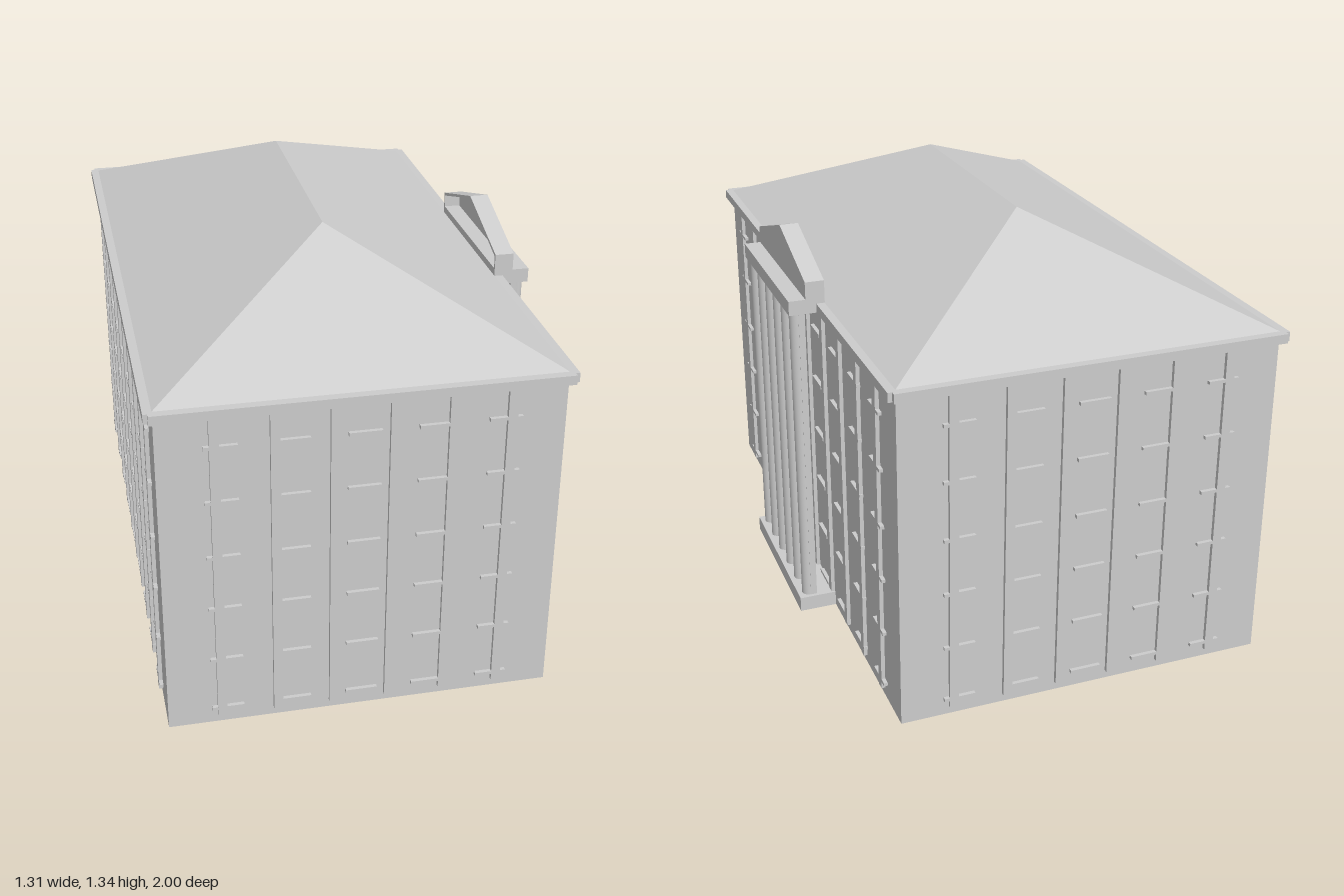
import * as THREE from 'three';

const stone = new THREE.MeshStandardMaterial({ color: 0xcccccc, side: THREE.DoubleSide });
stone.name = 'stone grey';

// Main block: centre and half sizes
const CX = -0.048, HX = 0.584, HZ = 0.973, WALL_TOP = 1.041;
const RELIEF = 0.012;

// Box faces in the order of their geometry groups
const BACK_X = 1, BOTTOM = 3;

function add(parent, name, geometry, x = 0, y = 0, z = 0) {
  const mesh = new THREE.Mesh(geometry, stone);
  mesh.name = name;
  mesh.position.set(x, y, z);
  parent.add(mesh);
  return mesh;
}

// Box given by its lower and upper corners, with some faces left open
function block(parent, name, [x0, y0, z0], [x1, y1, z1], open = []) {
  const g = new THREE.BoxGeometry(x1 - x0, y1 - y0, z1 - z0);
  if (open.length) {
    g.setIndex(Array.from(g.index.array).filter((_, i) => !open.includes(Math.floor(i / 6))));
    g.clearGroups();
  }
  return add(parent, name, g, (x0 + x1) / 2, (y0 + y1) / 2, (z0 + z1) / 2);
}

// Hipped roof with a ridge along z, open underneath
function hipRoof(a, b, ridge, h) {
  const g = new THREE.BufferGeometry();
  g.setAttribute('position', new THREE.Float32BufferAttribute([
    -a, 0, b, a, 0, b, a, 0, -b, -a, 0, -b, 0, h, ridge, 0, h, -ridge], 3));
  g.setIndex([0, 1, 4, 1, 2, 5, 1, 5, 4, 2, 3, 5, 3, 0, 4, 3, 4, 5]);
  const flat = g.toNonIndexed();
  flat.computeVertexNormals();
  return flat;
}

// Relief of one wall, built on its own plane (local +z points outwards)
function wallRelief(name, pilasters, pilasterStep, ledges, ledgeStep) {
  const wall = new THREE.Group();
  wall.name = name;
  for (let i = 0; i < pilasters; i++) {
    const x = (i - (pilasters - 1) / 2) * pilasterStep;
    block(wall, 'pilaster', [x - 0.014, 0.027, 0], [x + 0.014, WALL_TOP, RELIEF]);
  }
  for (const y of [0.055, 0.232, 0.412, 0.588, 0.77, 0.945]) {
    for (let i = 0; i < ledges; i++) {
      const x = (i - (ledges - 1) / 2) * ledgeStep;
      block(wall, 'windowLedge', [x - 0.048, y - 0.005, 0], [x + 0.048, y + 0.005, RELIEF]);
    }
  }
  return wall;
}

// Gable outline in z and y, shrunk by t on every side
function gablePoints(t) {
  const w = 0.29 - t, low = 1.086 + t;
  return [[-w, low], [w, low], [w, 1.142 - t], [0, 1.235 - t], [-w, 1.142 - t]]
    .map(([x, y]) => new THREE.Vector2(x, y));
}

// Gable slab running from x0 to x1, hollowed when a wall thickness is given
function gableSlab(parent, name, x0, x1, thickness) {
  const shape = new THREE.Shape(gablePoints(0));
  if (thickness) shape.holes.push(new THREE.Path(gablePoints(thickness)));
  const g = new THREE.ExtrudeGeometry(shape, { depth: x1 - x0, bevelEnabled: false });
  add(parent, name, g.rotateY(Math.PI / 2), x0);
}

export function createModel() {
  const model = new THREE.Group();
  model.name = 'building';

  // Walls, open at the bottom
  block(model, 'walls', [CX - HX, 0, -HZ], [CX + HX, WALL_TOP, HZ], [BOTTOM]);
  for (const s of [1, -1]) {
    const end = wallRelief(s > 0 ? 'frontWall' : 'backWall', 6, 0.169, 5, 0.2025);
    end.position.set(CX, 0, s * HZ);
    end.rotation.y = s > 0 ? 0 : Math.PI;
    const side = wallRelief(s > 0 ? 'leftWall' : 'rightWall', 10, 0.18, 9, 0.2);
    side.position.set(CX + s * HX, 0, 0);
    side.rotation.y = s * Math.PI / 2;
    model.add(end, side);
  }

  // Cornice with notched corners, and roof
  block(model, 'cornice', [CX - 0.61, 1.041, -0.986], [CX + 0.61, 1.07, 0.986]);
  block(model, 'corniceEnds', [CX - 0.597, 1.041, -1], [CX + 0.597, 1.07, 1]);
  add(model, 'roof', hipRoof(HX, HZ, 0.39, 0.268), CX, 1.07, 0);

  // Portico: hollow base, screen with columns, entablature
  const portico = new THREE.Group();
  portico.name = 'portico';
  model.add(portico);
  block(portico, 'porticoBase', [0.536, 0, -0.29], [0.655, 0.048, 0.29], [BACK_X, BOTTOM]);
  block(portico, 'screen', [0.596, 0.048, -0.278], [0.616, 1.041, 0.278]);
  for (let i = 0; i < 6; i++) {
    add(portico, 'column', new THREE.CylinderGeometry(0.022, 0.022, 0.994, 24),
      0.618, 0.545, (i - 2.5) * 0.102);
  }
  block(portico, 'entablature', [0.535, 1.041, -0.29], [0.648, 1.087, 0.29]);

  // Pediment, hollow towards the roof
  gableSlab(portico, 'pedimentRoof', 0.535, 0.588, 0.008);
  gableSlab(portico, 'pedimentFront', 0.588, 0.595, 0);

  return model;
}
